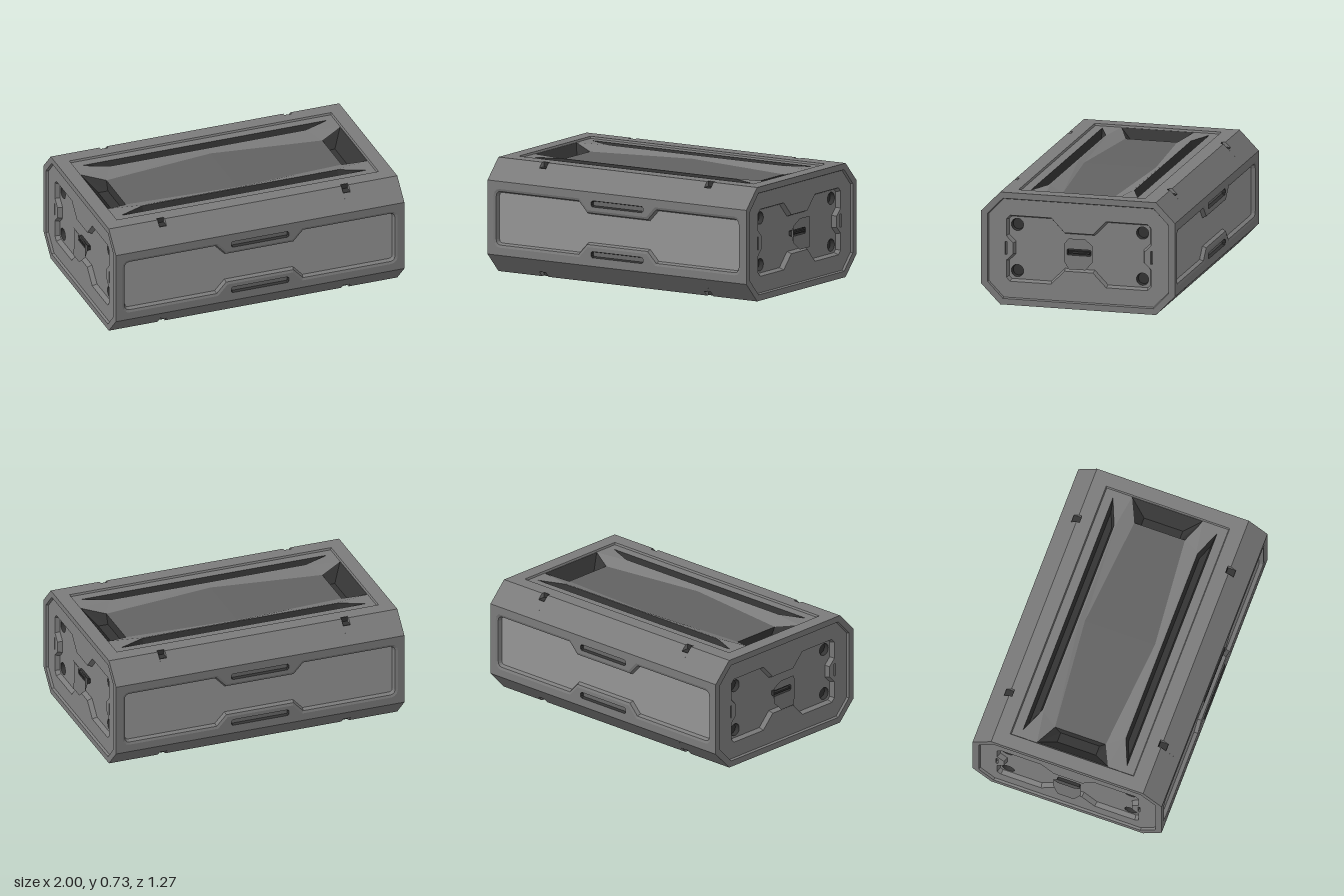
import * as THREE from 'three';

const BODY = 0x7b7b7b, END = 0x828282, SIDE = 0x959595, PLATE = 0x626262, GRIP = 0x686868, DARK = 0x343434;
const MID = 0.3655; // mid height of the case

const materials = {};
function paint(color) {
  materials[color] ??= new THREE.MeshStandardMaterial({ color, flatShading: true, side: THREE.DoubleSide });
  return materials[color];
}

function add(parent, name, geometry, color = BODY) {
  const mesh = new THREE.Mesh(geometry, paint(color));
  mesh.name = name;
  parent.add(mesh);
  return mesh;
}

// Mirror one quadrant (from the u axis round to the v axis) into a full loop
function sym(quad) {
  const flip = (a, b, rev) => {
    const pts = quad.map(([u, v]) => [u * a, v * b]);
    return rev ? pts.reverse() : pts;
  };
  return [...flip(1, 1), ...flip(-1, 1, true), ...flip(-1, -1), ...flip(1, -1, true)];
}

const shift = (loop, du, dv) => loop.map(([u, v]) => [u + du, v + dv]);
const atDepth = (loop, d) => loop.map(([u, v]) => [u, v, -d]);

// Mitred inward offset of an anticlockwise loop
function inset(loop, d) {
  const n = loop.length;
  return loop.map((p, i) => {
    const a = loop[(i + n - 1) % n], b = loop[(i + 1) % n];
    const n1 = new THREE.Vector2(a[1] - p[1], p[0] - a[0]).normalize();
    const n2 = new THREE.Vector2(p[1] - b[1], b[0] - p[0]).normalize();
    const k = d / (1 + n1.dot(n2));
    return [p[0] + (n1.x + n2.x) * k, p[1] + (n1.y + n2.y) * k];
  });
}

// Strip of quads between two chains of 3D points
function loft(a, b, closed = true) {
  const pos = [], n = a.length;
  for (let i = 0; i < (closed ? n : n - 1); i++) {
    const j = (i + 1) % n;
    pos.push(...a[i], ...a[j], ...b[j], ...a[i], ...b[j], ...b[i]);
  }
  const g = new THREE.BufferGeometry();
  g.setAttribute('position', new THREE.Float32BufferAttribute(pos, 3));
  g.computeVertexNormals();
  return g;
}

// Flat face with holes, lying at a depth below the local z = 0 plane
function face(loop, holes = [], depth = 0) {
  const vec = l => l.map(([u, v]) => new THREE.Vector2(u, v));
  const shape = new THREE.Shape(vec(loop));
  shape.holes = holes.map(h => new THREE.Path(vec(h)));
  return new THREE.ShapeGeometry(shape).translate(0, 0, -depth);
}

// Sunken pocket: sloped wall plus a floor that may itself have holes
function pocket(parent, name, loop, from, to, slope, color, wallColor = color, holes = []) {
  const floor = inset(loop, slope);
  add(parent, name + 'Wall', loft(atDepth(loop, from), atDepth(floor, to)), wallColor);
  add(parent, name + 'Floor', face(floor, holes, to), color);
}

// Long side: softly bevelled, sunken panel with two grip slots
function sidePanel() {
  const g = new THREE.Group();
  g.name = 'sidePanel';
  const bevel = sym([[0.93, 0.14], [0.925, 0.163], [0.908, 0.182], [0.885, 0.188], [0.285, 0.188], [0.22, 0.118]]);
  const recess = inset(bevel, 0.016);
  const grip = sym([[0.195, 0.011], [0.186, 0.02]]);
  const grips = [1, -1].map(s => shift(grip, 0, s * 0.163));
  add(g, 'sideFrame', face(sym([[0.955, 0.2375]]), [bevel, ...grips]));
  add(g, 'sideBevel', loft(atDepth(bevel, 0), atDepth(recess, 0.006)));
  pocket(g, 'sideRecess', recess, 0.006, 0.03, 0.01, SIDE, BODY);
  grips.forEach(l => pocket(g, 'gripSlot', l, 0, 0.02, 0.006, GRIP, DARK));
  return g;
}

// Lid and base: shallow inset, long slots, end pits and a faintly ridged plate
function lidPanel() {
  const g = new THREE.Group();
  g.name = 'lidPanel';
  const t = 0.012;
  const rim = sym([[0.885, 0.415]]);
  const slotA = [[-0.66, 0.28], [0.66, 0.28], [0.83, 0.35], [-0.83, 0.35]];
  const slotB = slotA.map(([u, v]) => [-u, -v]);
  const well = sym([[0.876, 0.238], [0.67, 0.27]]);
  add(g, 'lidFrame', face(sym([[0.955, 0.48]]), [rim]));
  pocket(g, 'lidInset', rim, 0, t, 0.006, BODY, BODY, [slotA, slotB, well]);
  [slotA, slotB].forEach(l => pocket(g, 'longSlot', l, t, 0.07, 0.015, DARK));

  // Half of the well, repeated after a half turn
  const A = s => [s * 0.876, 0.238, -t], B = s => [s * 0.67, 0.27, -t];
  const D = s => [s * 0.73, 0.17, -0.045], E = [0, 0.235, -0.028];
  const low = ([u, v, w]) => [u, -v, w];
  for (const turn of [0, Math.PI]) {
    const half = new THREE.Group();
    half.name = 'wellHalf';
    half.rotation.z = turn;
    add(half, 'wellSlope', loft([A(1), B(1), [0, 0.27, -t], B(-1), A(-1)], [D(1), D(1), E, D(-1), D(-1)], false));
    add(half, 'centrePlate', loft([D(1), E, D(-1)], [[0.73, 0, -0.045], [0, 0, -0.028], [-0.73, 0, -0.045]], false), PLATE);
    const pitFloor = [[0.8, 0.13], [0.8, -0.13], [0.735, -0.13], [0.735, 0.13]];
    add(half, 'endPitWall', loft([A(1), low(A(1)), low(D(1)), D(1)], atDepth(pitFloor, 0.1)), DARK);
    add(half, 'endPitFloor', face(pitFloor, [], 0.1), DARK);
    g.add(half);
  }
  return g;
}

// End cap: raised octagonal rim, shaped recess, bolt holes and a dished latch
function endCap() {
  const g = new THREE.Group();
  g.name = 'endCap';
  const outer = sym([[0.635, 0.2375], [0.51, 0.3655]]);
  const inner = sym([[0.593, 0.222], [0.493, 0.326]]);
  const recess = sym([[0.43, 0.035], [0.475, 0.08], [0.475, 0.19], [0.45, 0.215], [0.18, 0.215], [0.093, 0.125]]);
  const clips = [1, -1].map(s => shift(sym([[0.006, 0.042]]), s * 0.477, 0));
  const circle = Array.from({ length: 24 }, (_, i) => {
    const a = i / 24 * Math.PI * 2;
    return [0.04 * Math.cos(a), 0.04 * Math.sin(a)];
  });
  const bolts = [[1, 1], [-1, 1], [-1, -1], [1, -1]].map(([a, b]) => shift(circle, a * 0.41, b * 0.15));
  add(g, 'rimEdge', loft(atDepth(outer, 0), atDepth(outer, 0.02)));
  add(g, 'rim', face(outer, [inner]));
  pocket(g, 'endPanel', inner, 0, 0.015, 0.006, END, BODY, [recess, ...clips]);
  pocket(g, 'endRecess', recess, 0.015, 0.045, 0.012, END, BODY, bolts);
  clips.forEach(l => pocket(g, 'clipSlot', l, 0.015, 0.035, 0.001, GRIP));
  bolts.forEach(l => pocket(g, 'boltHole', l, 0.045, 0.075, 0.004, DARK));

  // Latch dish with flared upper and lower lips, softly shaded as one surface
  const lip = sym([[0.093, 0.055], [0.055, 0.1]]).map(([u, v]) => [u, v, Math.abs(v) > 0.08 ? 0.025 : 0]);
  const slot = sym([[0.08, 0.014], [0.074, 0.02]]);
  const dish = loft(lip, atDepth(slot, 0.022));
  const normal = dish.attributes.normal;
  for (let i = 0; i < normal.count; i++) normal.setXYZ(i, 0, 0, 1);
  const latch = add(g, 'latchDish', dish);
  latch.material = latch.material.clone();
  latch.material.flatShading = false;
  pocket(g, 'latchSlot', slot, 0.022, 0.043, 0.004, DARK);
  add(g, 'latchBar', new THREE.BoxGeometry(0.14, 0.012, 0.02), DARK).position.z = -0.03;
  return g;
}

// Chamfered long edges, with a small dark-lined notch near each end
function edges() {
  const g = new THREE.Group();
  g.name = 'chamferedEdges';
  const plain = [[0.48, 0.3655], [0.51, 0.3655], [0.635, 0.2375], [0.48, 0.2375]];
  const notched = [[0.48, 0.3655], [0.488, 0.3655], [0.488, 0.33], [0.545, 0.33], [0.635, 0.2375], [0.48, 0.2375]];
  const liner = [[0.488, 0.365], [0.491, 0.365], [0.491, 0.333], [0.543, 0.333], [0.546, 0.33], [0.488, 0.33]];
  const stops = [-0.955, -0.645, -0.597, 0.597, 0.645, 0.955];
  for (const a of [1, -1]) for (const b of [1, -1]) {
    const bar = (name, profile, i, color) => {
      const shape = new THREE.Shape(profile.map(([u, v]) => new THREE.Vector2(u * a, v * b)));
      const geo = new THREE.ExtrudeGeometry(shape, { depth: stops[i + 1] - stops[i], bevelEnabled: false });
      add(g, name, geo.translate(0, 0, stops[i]).rotateY(Math.PI / 2), color);
    };
    for (const i of [0, 2, 4]) bar('edgeLength', plain, i, BODY);
    for (const i of [1, 3]) {
      bar('edgeNotch', notched, i, BODY);
      bar('notchLiner', liner, i, DARK);
    }
  }
  return g;
}

export function createModel() {
  const model = new THREE.Group();
  model.name = 'storageCase';
  const place = (part, x, y, z, rx, ry) => {
    part.position.set(x, y, z);
    part.rotation.set(rx, ry, 0);
    model.add(part);
  };
  const q = Math.PI / 2;
  for (const s of [1, -1]) {
    place(sidePanel(), 0, MID, s * 0.635, 0, s > 0 ? 0 : Math.PI);
    place(lidPanel(), 0, MID + s * 0.3655, 0, -s * q, 0);
    place(endCap(), s * 0.975, MID, 0, 0, s * q);
  }
  place(edges(), 0, MID, 0, 0, 0);
  return model;
}
